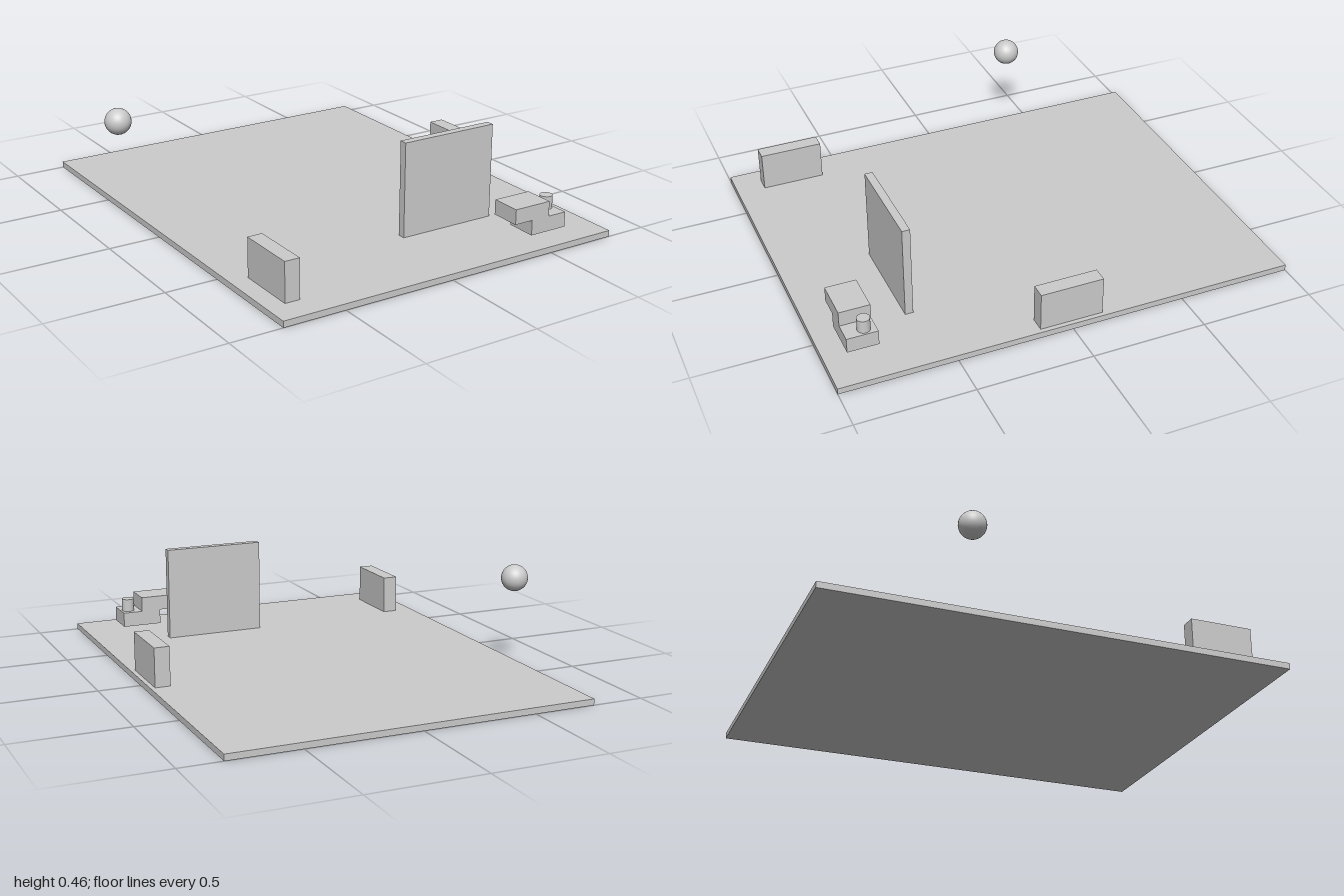
import * as THREE from 'three';

export function createModel() {
  const group = new THREE.Group();
  const material = new THREE.MeshStandardMaterial({ color: 0xcccccc });

  const add = (name, geometry, x, y, z) => {
    const mesh = new THREE.Mesh(geometry, material);
    mesh.name = name;
    mesh.position.set(x, y, z);
    group.add(mesh);
  };

  // Box given by its lower and upper limits on each axis
  const box = (name, [x0, x1], [y0, y1], [z0, z1]) =>
    add(name, new THREE.BoxGeometry(x1 - x0, y1 - y0, z1 - z0),
      (x0 + x1) / 2, (y0 + y1) / 2, (z0 + z1) / 2);

  // Ground slab
  const top = 0.027;
  box('floor', [-0.774, 0.816], [0, top], [-1, 1]);

  // Tall thin panel and the two low barriers
  box('wall', [0.046, 0.493], [top, 0.441], [0.57, 0.605]);
  box('rightBarrier', [-0.692, -0.626], [top, 0.198], [0.601, 0.877]);
  box('leftBarrier', [0.729, 0.796], [top, 0.198], [-0.139, 0.138]);

  // Stepped pair of blocks hovering over the floor, with a peg on the lower one
  const step = 0.114;
  box('lowerBlock', [0.474, 0.651], [0.048, step], [0.771, 0.905]);
  box('upperBlock', [0.386, 0.562], [step, 0.18], [0.771, 0.905]);
  add('peg', new THREE.CylinderGeometry(0.0275, 0.0275, 0.057, 32), 0.616, step + 0.0285, 0.821);

  // Floating ball
  add('ball', new THREE.SphereGeometry(0.058, 32, 16), -0.76, 0.398, -0.386);

  return group;
}
